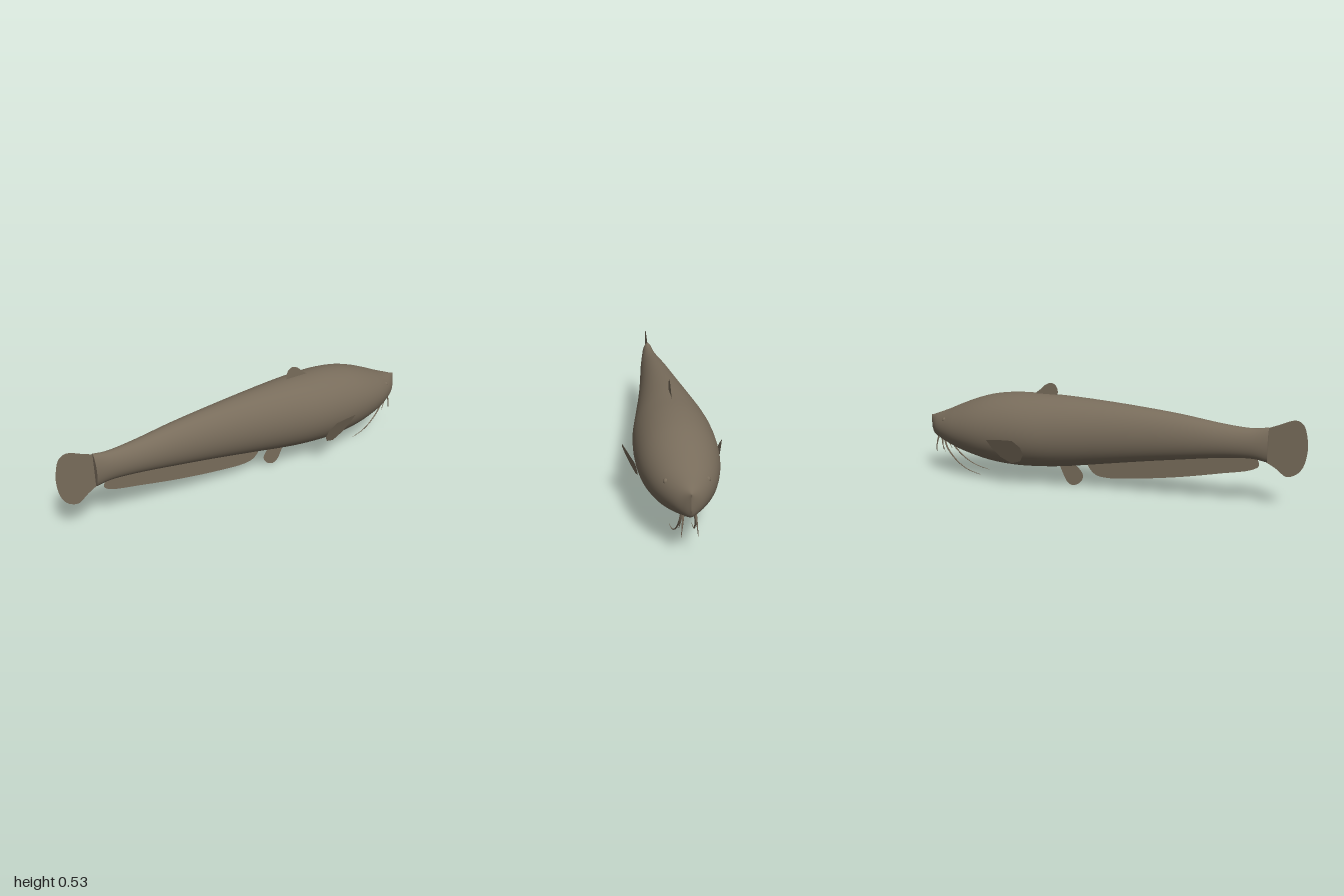
import * as THREE from 'three';

const skin = new THREE.MeshStandardMaterial({ color: 0x786c5b, side: THREE.DoubleSide });
skin.name = 'olive brown skin';

function add(group, name, geometry) {
  const mesh = new THREE.Mesh(geometry, skin);
  mesh.name = name;
  group.add(mesh);
  return mesh;
}

// Body stations from tail to snout: x, top, bottom, half width
const stations = [
  [-0.82, 0.396, 0.226, 0.032], [-0.74, 0.386, 0.238, 0.043], [-0.6, 0.397, 0.228, 0.06],
  [-0.4, 0.426, 0.2, 0.08], [-0.2, 0.447, 0.17, 0.101], [0, 0.463, 0.138, 0.127],
  [0.2, 0.474, 0.107, 0.157], [0.35, 0.476, 0.093, 0.178], [0.48, 0.474, 0.089, 0.184],
  [0.6, 0.459, 0.098, 0.18], [0.7, 0.432, 0.117, 0.166], [0.8, 0.393, 0.143, 0.138],
  [0.88, 0.358, 0.17, 0.102], [0.94, 0.335, 0.193, 0.065], [0.98, 0.32, 0.21, 0.027],
  [1, 0.316, 0.245, 0.001],
];

// Elliptical rings along the smoothed stations
function bodyGeometry(rings = 90, sides = 48) {
  const curveOf = (f) => new THREE.CatmullRomCurve3(stations.map(f), false, 'catmullrom');
  const height = curveOf(([x, top, bottom]) => new THREE.Vector3(x, top, bottom));
  const width = curveOf(([x, , , w]) => new THREE.Vector3(x, w, 0));
  const pos = [], index = [];
  for (let i = 0; i <= rings; i++) {
    const h = height.getPoint(i / rings);
    const w = Math.max(width.getPoint(i / rings).y, 0.001);
    for (let j = 0; j < sides; j++) {
      const a = (j / sides) * Math.PI * 2;
      pos.push(h.x, (h.y + h.z) / 2 + Math.cos(a) * (h.y - h.z) / 2, Math.sin(a) * w);
      if (i === rings) continue;
      const p = i * sides + j, q = i * sides + (j + 1) % sides;
      index.push(p, q, p + sides, q, q + sides, p + sides);
    }
  }
  const g = new THREE.BufferGeometry();
  g.setAttribute('position', new THREE.Float32BufferAttribute(pos, 3));
  g.setIndex(index);
  g.computeVertexNormals();
  return g;
}

// Flat fin: straight root from the first to the last point, curved outer edge
function finGeometry(points) {
  const edge = new THREE.CatmullRomCurve3(points.map(([x, y]) => new THREE.Vector3(x, y, 0)));
  const outline = edge.getPoints(40).map((p) => new THREE.Vector2(p.x, p.y));
  return new THREE.ShapeGeometry(new THREE.Shape(outline));
}

// Tapering whisker along a curve
function barbelGeometry(points, radius) {
  const curve = new THREE.CatmullRomCurve3(points.map((p) => new THREE.Vector3(...p)));
  const segs = 16, sides = 6;
  const g = new THREE.TubeGeometry(curve, segs, radius, sides, false);
  const pos = g.attributes.position, v = new THREE.Vector3();
  for (let i = 0; i < pos.count; i++) {
    const t = Math.floor(i / (sides + 1)) / segs;
    const c = curve.getPointAt(t);
    v.fromBufferAttribute(pos, i).sub(c).multiplyScalar(1 - 0.8 * t).add(c);
    pos.setXYZ(i, v.x, v.y, v.z);
  }
  g.computeVertexNormals();
  return g;
}

export function createModel() {
  const fish = new THREE.Group();
  fish.name = 'catfish';

  add(fish, 'body', bodyGeometry());

  // Closed end of the tail stem
  const cap = add(fish, 'tailStemEnd', new THREE.CircleGeometry(1, 48));
  cap.scale.set(0.032, 0.085, 1);
  cap.rotation.y = -Math.PI / 2;
  cap.position.set(-0.82, 0.311, 0);

  // Fins on the midline
  const fins = {
    tailFin: [[-0.78, 0.378], [-0.86, 0.41], [-0.94, 0.439], [-0.975, 0.42], [-0.995, 0.36],
      [-1, 0.3], [-0.985, 0.22], [-0.955, 0.18], [-0.91, 0.165], [-0.86, 0.2], [-0.78, 0.245]],
    dorsalFin: [[0.25, 0.46], [0.248, 0.502], [0.262, 0.527], [0.285, 0.535], [0.315, 0.524],
      [0.345, 0.498], [0.39, 0.465]],
    analFin: [[-0.77, 0.25], [-0.782, 0.205], [-0.75, 0.182], [-0.6, 0.148], [-0.4, 0.108],
      [-0.2, 0.078], [-0.02, 0.061], [0.04, 0.07], [0.075, 0.1], [0.1, 0.15]],
    pelvicFin: [[0.17, 0.125], [0.125, 0.085], [0.112, 0.055], [0.13, 0.02], [0.17, 0.001],
      [0.2, 0.015], [0.22, 0.05], [0.25, 0.12]],
  };
  for (const [name, points] of Object.entries(fins)) add(fish, name, finGeometry(points));

  // Paired parts on both sides
  for (const side of [1, -1]) {
    const prefix = side > 0 ? 'left' : 'right';

    // Pectoral fin leaning out from the flank
    const outline = [[0.57, 0.256], [0.49, 0.268], [0.4, 0.277], [0.357, 0.245], [0.349, 0.205],
      [0.375, 0.165], [0.435, 0.141], [0.5, 0.168], [0.545, 0.215]];
    const g = new THREE.ShapeGeometry(new THREE.Shape(outline.map((p) => new THREE.Vector2(...p))));
    const pos = g.attributes.position;
    for (let i = 0; i < pos.count; i++) {
      const z = 0.184 - 0.22 * (pos.getX(i) - 0.57) + 0.37 * (pos.getY(i) - 0.256);
      pos.setZ(i, side * z);
    }
    g.computeVertexNormals();
    add(fish, prefix + 'PectoralFin', g);

    // Whiskers under the jaw
    const barbels = [
      [[0.91, 0.2, 0.026], [0.895, 0.15, 0.032], [0.84, 0.085, 0.039], [0.77, 0.04, 0.045], [0.685, 0.017, 0.049]],
      [[0.925, 0.21, 0.026], [0.922, 0.165, 0.031], [0.905, 0.122, 0.036]],
      [[0.945, 0.21, 0.024], [0.957, 0.165, 0.029], [0.96, 0.112, 0.034]],
    ];
    barbels.forEach((points, i) => {
      const path = points.map(([x, y, z]) => [x, y, z * side]);
      add(fish, prefix + 'Barbel' + (i + 1), barbelGeometry(path, 0.005));
    });

    // Small eye bump
    const eye = add(fish, prefix + 'Eye', new THREE.SphereGeometry(0.013, 16, 12));
    eye.position.set(0.868, 0.314, side * 0.083);
  }
  return fish;
}
